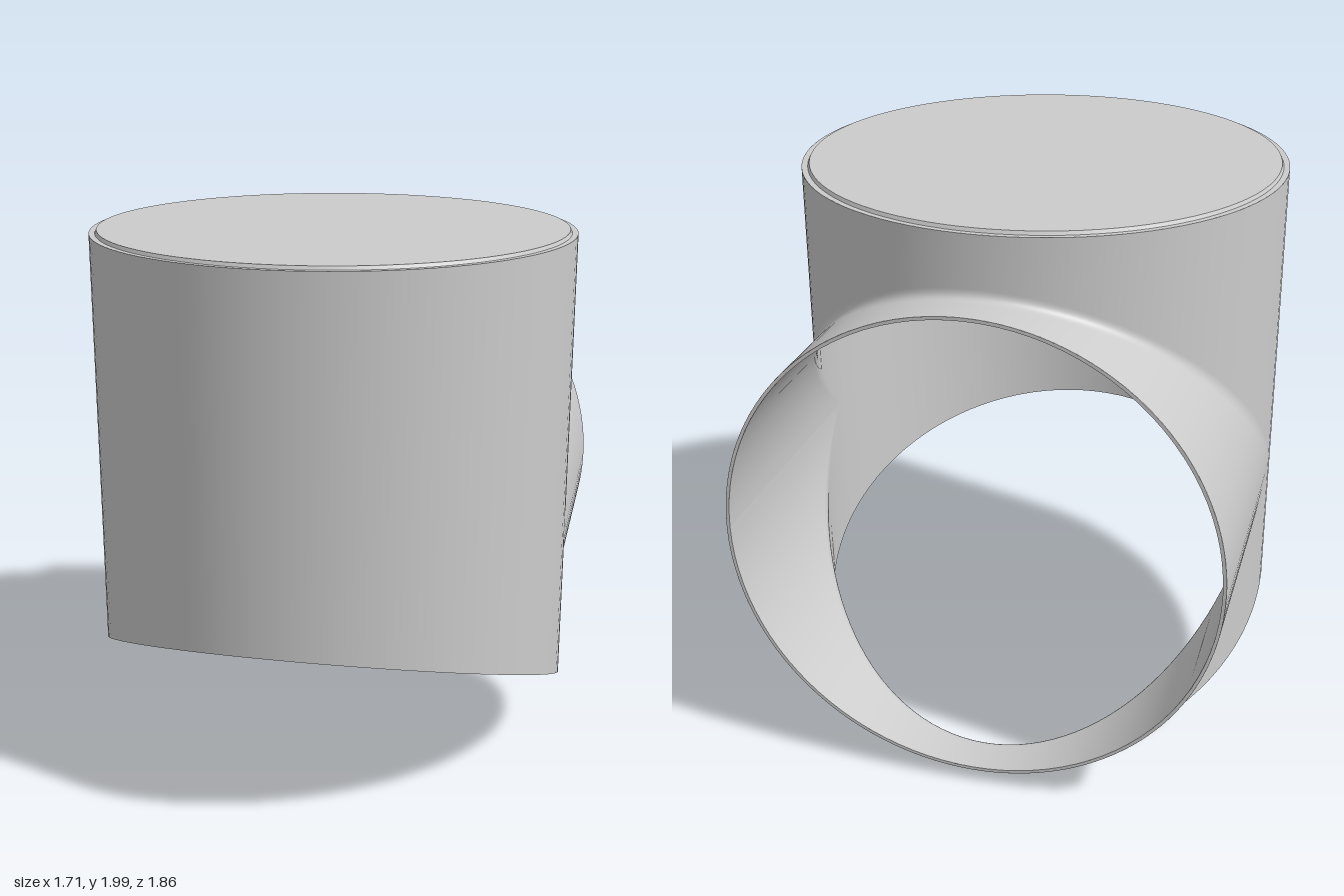
import * as THREE from 'three';

const R = 0.857, WALL = 0.012;        // outer radius and wall thickness
const YC = 0.915, ZC = 0.075;         // branch axis height, main axis depth
const BACK = -0.932, SHOULDER = 1.988, CEILING = 1.88;
const material = new THREE.MeshStandardMaterial({ color: 0xcccccc, side: THREE.DoubleSide });

// Height of the slanted lower cut at depth z
const cutY = (z) => 0.008 + (z - (ZC - R)) * (0.69 / (2 * R));

// Grid surface from fn(u, v) -> [x, y, z]
function surface(name, nu, nv, fn) {
  const pos = [], idx = [];
  for (let i = 0; i <= nu; i++)
    for (let j = 0; j <= nv; j++) pos.push(...fn(i / nu, j / nv));
  const w = nv + 1;
  for (let i = 0; i < nu; i++)
    for (let j = 0; j < nv; j++) {
      const a = i * w + j, b = a + w;
      idx.push(a, a + 1, b, b, a + 1, b + 1);
    }
  const g = new THREE.BufferGeometry();
  g.setAttribute('position', new THREE.Float32BufferAttribute(pos, 3));
  g.setIndex(idx);
  g.computeVertexNormals();
  const mesh = new THREE.Mesh(g, material);
  mesh.name = name;
  return mesh;
}

// One shell of the tee: front half wall plus the filleted rear joints
function shell(name, r, top) {
  const group = new THREE.Group();
  group.name = name;
  group.add(surface(name + 'Front', 48, 1, (u, v) => {
    const a = u * Math.PI, z = ZC + r * Math.sin(a);
    return [-r * Math.cos(a), v ? cutY(z) : top, z];
  }));
  // Each slice at constant x runs down the wall, round the fillet, out along the branch
  for (const side of [1, -1]) {
    const steps = 8;
    group.add(surface(name + (side > 0 ? 'UpperJoint' : 'LowerJoint'), 64, steps + 2, (u, v) => {
      const a = (u - 0.5) * Math.PI * side, c = Math.max(0, Math.cos(a));
      const x = -r * Math.sin(a), z = ZC - r * c, y = YC + side * r * c;
      const d = 0.035 * Math.min(1, c * 4);
      const k = Math.round(v * (steps + 2));
      if (k === 0) return [x, side > 0 ? top : cutY(z), z];
      if (k === steps + 2) return [x, y, BACK];
      const t = (k - 1) / steps;
      return [x, y + side * d * (1 - t) ** 2, z - d * t * t];
    }));
  }
  return group;
}

export function createModel() {
  const model = new THREE.Group();
  model.name = 'teePipe';

  model.add(shell('outerWall', R, SHOULDER));
  model.add(shell('innerWall', R - WALL, CEILING));

  // Rim closing the slanted lower opening
  model.add(surface('lowerRim', 96, 1, (u, v) => {
    const a = u * Math.PI * 2, r = R - v * WALL, z = ZC + r * Math.sin(a);
    return [r * Math.cos(a), cutY(z), z];
  }));

  // Rim at the end of the rear branch
  const branchRim = new THREE.Mesh(new THREE.RingGeometry(R - WALL, R, 96), material);
  branchRim.name = 'branchRim';
  branchRim.rotation.y = Math.PI;
  branchRim.position.set(0, YC, BACK);
  model.add(branchRim);

  // Lid: shoulder ring, slightly raised disc, and the ceiling inside
  const shoulder = new THREE.Mesh(new THREE.RingGeometry(0.83, R, 96), material);
  shoulder.name = 'shoulder';
  shoulder.rotation.x = -Math.PI / 2;
  shoulder.position.set(0, SHOULDER, ZC);
  const lid = new THREE.Mesh(
    new THREE.CylinderGeometry(0.83, 0.836, 2 - SHOULDER, 96), material);
  lid.name = 'lid';
  lid.position.set(0, (2 + SHOULDER) / 2, ZC);
  const ceiling = new THREE.Mesh(new THREE.CircleGeometry(R - WALL, 96), material);
  ceiling.name = 'ceiling';
  ceiling.rotation.x = Math.PI / 2;
  ceiling.position.set(0, CEILING, ZC);
  model.add(shoulder, lid, ceiling);

  return model;
}
